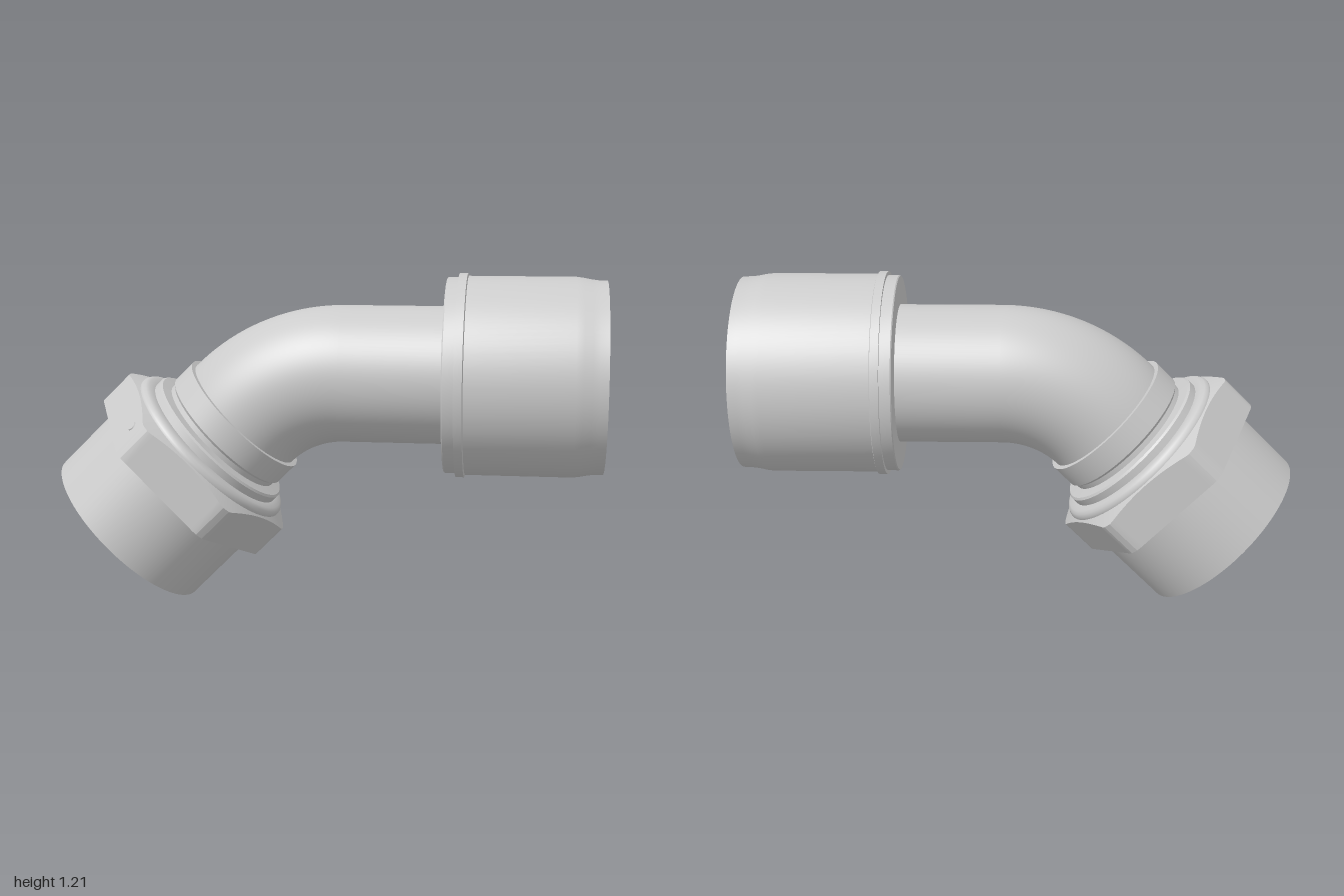
import * as THREE from 'three';
import { toCreasedNormals } from 'three/addons/utils/BufferGeometryUtils.js';

const grey = new THREE.MeshStandardMaterial({ color: 0xcccccc });
const greyDouble = new THREE.MeshStandardMaterial({ color: 0xcccccc, side: THREE.DoubleSide });

const AXIS_Y = 0.8425;                            // height of the horizontal pipe axis
const END = new THREE.Vector3(-0.755, 0.245, 0);  // centre of the lower opening
const KNEE_X = END.x + AXIS_Y - END.y;            // where the two axes cross
const BEND_R = 0.53, BEND = Math.PI / 4;
const TANGENT = BEND_R * Math.tan(BEND / 2);
const BEND_X = KNEE_X + TANGENT;                  // start of the bend
const BEND_T = Math.hypot(KNEE_X - END.x, AXIS_Y - END.y) - TANGENT;
const PIPE_R = 0.25, BORE_R = 0.2125;

function addMesh(parent, name, geometry, material = grey) {
  const mesh = new THREE.Mesh(geometry, material);
  mesh.name = name;
  parent.add(mesh);
  return mesh;
}

// Turned part from [radius, distance along the axis] points
function turned(points, segments = 96) {
  return new THREE.LatheGeometry(points.map(([r, t]) => new THREE.Vector2(r, t)), segments);
}
const creased = (geometry, angle = 0.4) => toCreasedNormals(geometry, angle);

// Hexagon with clipped corners and a conical chamfer on the pipe side
function hexNut() {
  const flat = 0.36, corner = 0.405, inner = 0.3, bottom = 0.276;
  const topAt = r => 0.417 + (corner - r) * 0.45;
  const g = turned([[inner, bottom], [1, bottom], [1, 0.42], [inner, topAt(inner)]], 180);
  const p = g.attributes.position;
  for (let i = 0; i < p.count; i++) {
    const x = p.getX(i), z = p.getZ(i);
    if (Math.hypot(x, z) < 0.9) continue;
    const a = Math.atan2(x, z), step = Math.PI / 3;
    const off = a - Math.round(a / step) * step;
    const r = Math.min(flat / Math.cos(off), corner);
    p.setXYZ(i, r * Math.sin(a), p.getY(i) > 0.3 ? topAt(r) : bottom, r * Math.cos(a));
  }
  return creased(g, 0.2);
}

export function createModel() {
  const model = new THREE.Group();
  model.name = 'angledPipeFitting';

  // Straight pipe and bend, each with an outer wall and a bore
  const pipe = new THREE.Group();
  pipe.name = 'pipe';
  model.add(pipe);
  for (const [name, r, material] of [['Wall', PIPE_R, grey], ['Bore', BORE_R, greyDouble]]) {
    const length = 0.5 - BEND_X;
    const straight = addMesh(pipe, 'straight' + name,
      new THREE.CylinderGeometry(r, r, length, 96, 1, true), material);
    straight.rotation.z = -Math.PI / 2;
    straight.position.set(BEND_X + length / 2, AXIS_Y, 0);
    const bend = addMesh(pipe, 'bend' + name,
      new THREE.TorusGeometry(BEND_R, r, 96, 32, BEND), material);
    bend.rotation.z = Math.PI / 2;
    bend.position.set(BEND_X, AXIS_Y - BEND_R, 0);
  }

  // Press sleeve around the horizontal end, with a deep ring-shaped gap
  const press = new THREE.Group();
  press.name = 'pressEnd';
  press.rotation.z = -Math.PI / 2;
  press.position.y = AXIS_Y;
  model.add(press);
  addMesh(press, 'pressSleeve', creased(turned([
    [PIPE_R, 0.432], [0.352, 0.432], [0.355, 0.436], [0.355, 0.475],
    [0.369, 0.475], [0.369, 0.505], [0.36, 0.508], [0.36, 0.89],
    [0.357, 0.915], [0.351, 0.945], [0.348, 0.97], [0.347, 1],
    [0.32, 1], [0.314, 0.985], [0.314, 0.78], [PIPE_R, 0.78],
  ])));
  addMesh(press, 'innerSpigot', creased(turned([
    [0.258, 0.5], [0.258, 0.955], [0.244, 0.975], [BORE_R, 0.975], [BORE_R, 0.5],
  ])));

  // Slanted union end, built upward from its opening
  const union = new THREE.Group();
  union.name = 'unionEnd';
  union.rotation.z = -BEND;
  union.position.copy(END);
  model.add(union);
  addMesh(union, 'threadedSocket', creased(turned([
    [BORE_R, BEND_T], [BORE_R, 0.36], [0.31, 0.25], [0.31, 0.025], [0.335, 0],
    [0.3465, 0], [0.3465, 0.3],
  ])));
  addMesh(union, 'hexNut', hexNut());
  addMesh(union, 'retainingRing', creased(turned([
    [0.346, 0.42], [0.352, 0.435], [0.351, 0.45], [0.344, 0.461],
    [0.332, 0.468], [0.305, 0.468],
  ]), 0.6));
  addMesh(union, 'neckCollar', creased(turned([
    [0.305, 0.46], [0.305, 0.495], [0.298, 0.502], [0.258, 0.506], [0.258, 0.525],
    [0.268, 0.535], [0.268, BEND_T], [PIPE_R, BEND_T],
  ])));

  // Small round mark on one flat of the nut
  const normal = new THREE.Vector3(-Math.sin(Math.PI / 3), 0, 0.5);
  const mark = addMesh(union, 'nutMark', new THREE.CylinderGeometry(0.016, 0.02, 0.008, 24));
  mark.position.set(-0.244, 0.371, 0.297);
  mark.quaternion.setFromUnitVectors(new THREE.Vector3(0, 1, 0), normal.normalize());

  return model;
}
